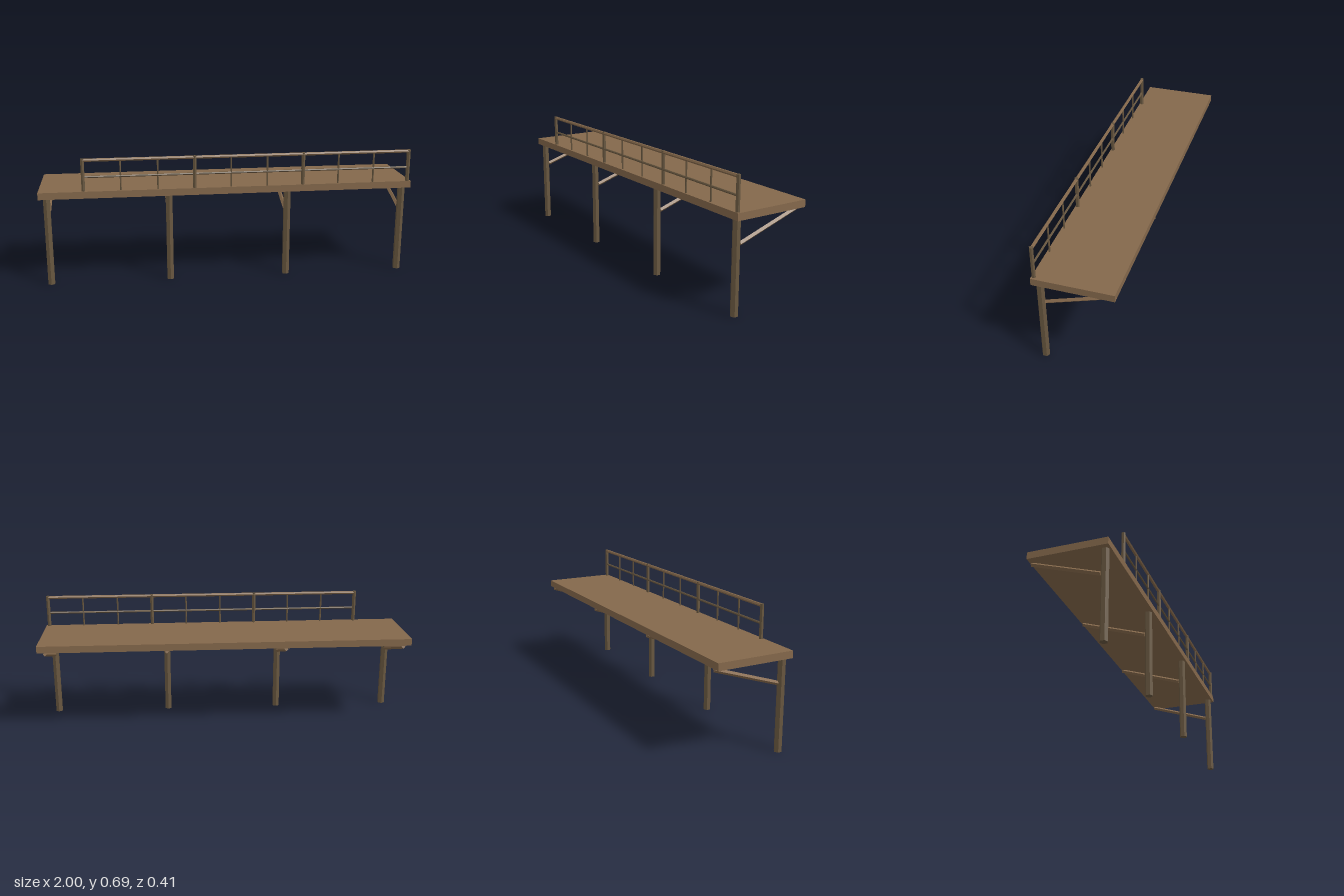
import * as THREE from 'three';

export function createModel() {
  const model = new THREE.Group();
  const wood = new THREE.MeshStandardMaterial({ color: 0x84684b, flatShading: true });
  wood.name = 'brown wood';
  const dark = new THREE.MeshStandardMaterial({ color: 0x67563f, flatShading: true });
  dark.name = 'dark wood';

  // Straight bar with a few sides between two points
  function bar(name, a, b, radius, sides, material) {
    const from = new THREE.Vector3(...a);
    const dir = new THREE.Vector3(...b).sub(from);
    const mesh = new THREE.Mesh(
      new THREE.CylinderGeometry(radius, radius, dir.length(), sides), material);
    mesh.name = name;
    mesh.position.copy(from).addScaledVector(dir, 0.5);
    mesh.quaternion.setFromUnitVectors(new THREE.Vector3(0, 1, 0), dir.normalize());
    model.add(mesh);
  }

  // Platform
  const deck = new THREE.Mesh(new THREE.BoxGeometry(2, 0.037, 0.408), wood);
  deck.name = 'deck';
  deck.position.y = 0.4935;
  model.add(deck);

  // Support posts, each with a diagonal brace to the back edge
  for (let i = 0; i < 4; i++) {
    const x = -0.958 + i * 0.6385;
    bar('supportPost', [x, 0, 0.175], [x, 0.48, 0.175], 0.02, 6, dark);
    bar('brace', [x, 0.35, 0.154], [x, 0.468, -0.197], 0.011, 4, wood);
  }

  // Railing along the front edge: every third upright is a thick post
  const left = -0.765, right = 0.982, z = 0.192;
  for (let i = 0; i <= 9; i++) {
    const x = left + (right - left) * i / 9;
    if (i % 3 === 0) bar('railPost', [x, 0.5, z], [x, 0.685, z], 0.0105, 6, dark);
    else bar('baluster', [x, 0.505, z], [x, 0.675, z], 0.005, 6, dark);
  }
  bar('topRail', [left, 0.677, z], [right, 0.677, z], 0.009, 6, wood);
  bar('middleRail', [left, 0.588, z], [right, 0.588, z], 0.006, 6, dark);

  return model;
}
